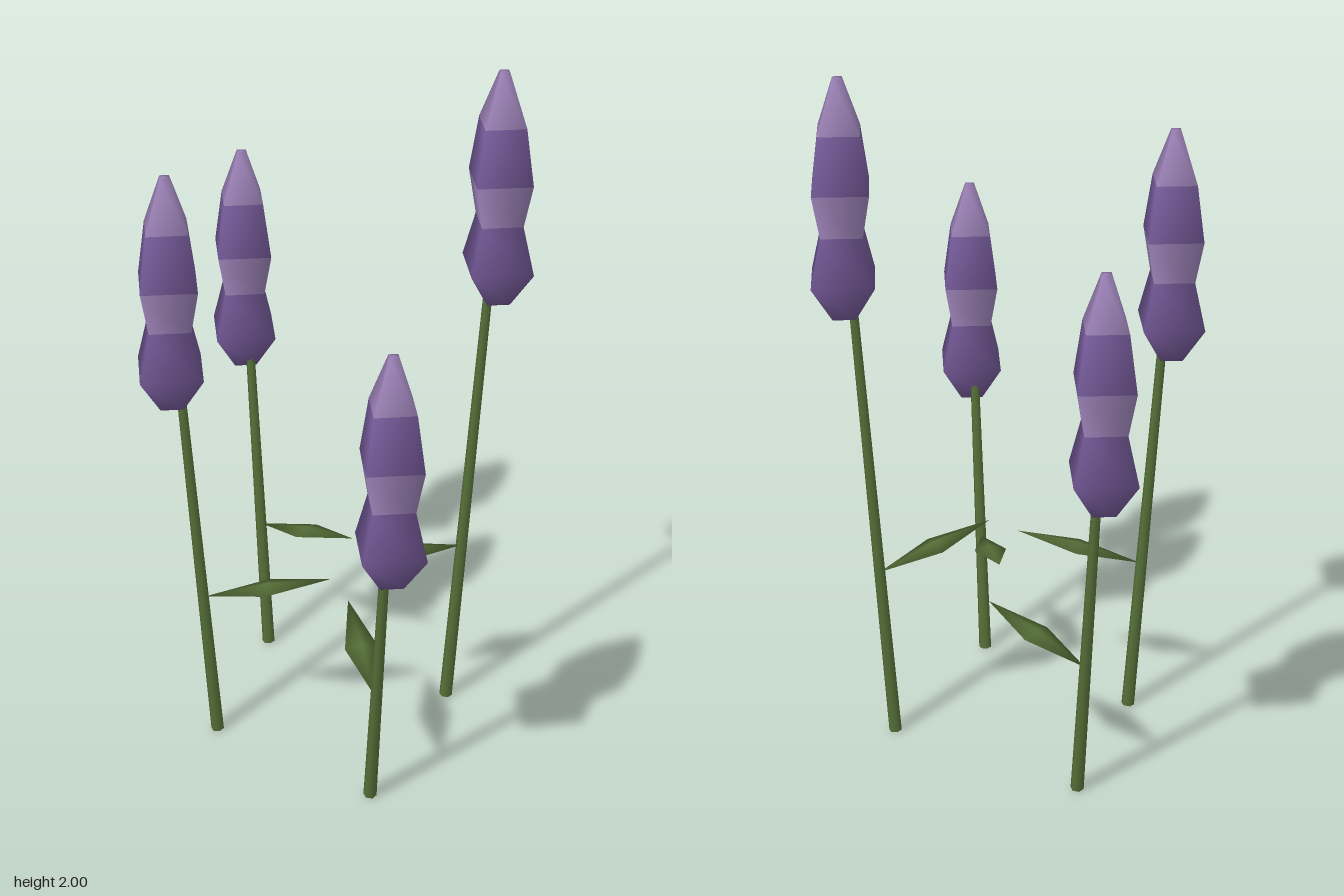
import * as THREE from 'three';

const mat = (name, color) => {
  const m = new THREE.MeshStandardMaterial({ color });
  m.name = name;
  return m;
};

const UP = new THREE.Vector3(0, 1, 0);
const toPoints = (list) => list.map(([r, y]) => new THREE.Vector2(r, y));

// Four-sided blossom spike; every profile step gets its own colour index
function blossomGeometry() {
  const profile = [
    [0, 0], [0.045, 0], [0.122, 0.11], [0.081, 0.245],
    [0.109, 0.37], [0.08, 0.53], [0.018, 0.675], [0, 0.675],
  ];
  const bandColor = [0, 0, 0, 1, 0, 1, 1];
  const geo = new THREE.LatheGeometry(toPoints(profile), 4);
  geo.clearGroups();
  for (let side = 0; side < 4; side++) {
    bandColor.forEach((c, band) => geo.addGroup((side * bandColor.length + band) * 6, 6, c));
  }
  return geo;
}

// Tapered stem from one point to another
function makeStem(from, to, material) {
  const length = from.distanceTo(to);
  const geo = new THREE.LatheGeometry(
    toPoints([[0, 0], [0.019, 0], [0.011, length], [0, length]]), 6);
  const stem = new THREE.Mesh(geo, material);
  stem.name = 'stem';
  stem.position.copy(from);
  stem.quaternion.setFromUnitVectors(UP, to.clone().sub(from).normalize());
  return stem;
}

// Flat diamond leaf, pointed at both ends
function makeLeaf(base, tip, material) {
  const axis = tip.clone().sub(base);
  const length = axis.length();
  axis.normalize();
  const across = new THREE.Vector3().crossVectors(axis, UP).normalize();
  const normal = new THREE.Vector3().crossVectors(across, axis);
  const geo = new THREE.SphereGeometry(1, 4, 2);
  geo.scale(0.048, length / 2, 0.014);
  const leaf = new THREE.Mesh(geo, material);
  leaf.name = 'leaf';
  leaf.quaternion.setFromRotationMatrix(new THREE.Matrix4().makeBasis(across, axis, normal));
  leaf.position.copy(base).add(tip).multiplyScalar(0.5);
  return leaf;
}

export function createModel() {
  const root = new THREE.Group();
  root.name = 'flowers';

  const green = mat('leaf green', 0x567038);
  const purple = mat('deep purple', 0x775c9c);
  const lilac = mat('pale lilac', 0x987fb2);
  const blossomGeo = blossomGeometry();

  // Stem foot, blossom centre with its top height, leaf base and leaf tip
  const flowers = [
    { foot: [-0.378, -0.18], head: [-0.495, 1.612, -0.223], leaf: [[-0.41, 0.415, -0.19], [-0.054, 0.495, -0.195]] },
    { foot: [-0.19, 0.272], head: [-0.236, 1.795, 0.375], leaf: [[-0.2, 0.475, 0.3], [0.1, 0.555, 0.098]] },
    { foot: [0.228, -0.3], head: [0.309, 2.0, -0.378], leaf: [[0.252, 0.53, -0.325], [0.135, 0.61, 0.015]] },
    { foot: [0.363, 0.238], head: [0.491, 1.483, 0.322], leaf: [[0.4, 0.37, 0.265], [0.116, 0.46, 0.036]] },
  ];

  for (const { foot, head: [x, top, z], leaf } of flowers) {
    const flower = new THREE.Group();
    flower.name = 'flower';

    const blossom = new THREE.Mesh(blossomGeo, [purple, lilac]);
    blossom.name = 'blossom';
    blossom.position.set(x, top - 0.675, z);

    const stem = makeStem(
      new THREE.Vector3(foot[0], 0.003, foot[1]),
      new THREE.Vector3(x, top - 0.27, z), green);

    const [base, tip] = leaf.map((p) => new THREE.Vector3(...p));
    flower.add(blossom, stem, makeLeaf(base, tip, green));
    root.add(flower);
  }
  return root;
}
